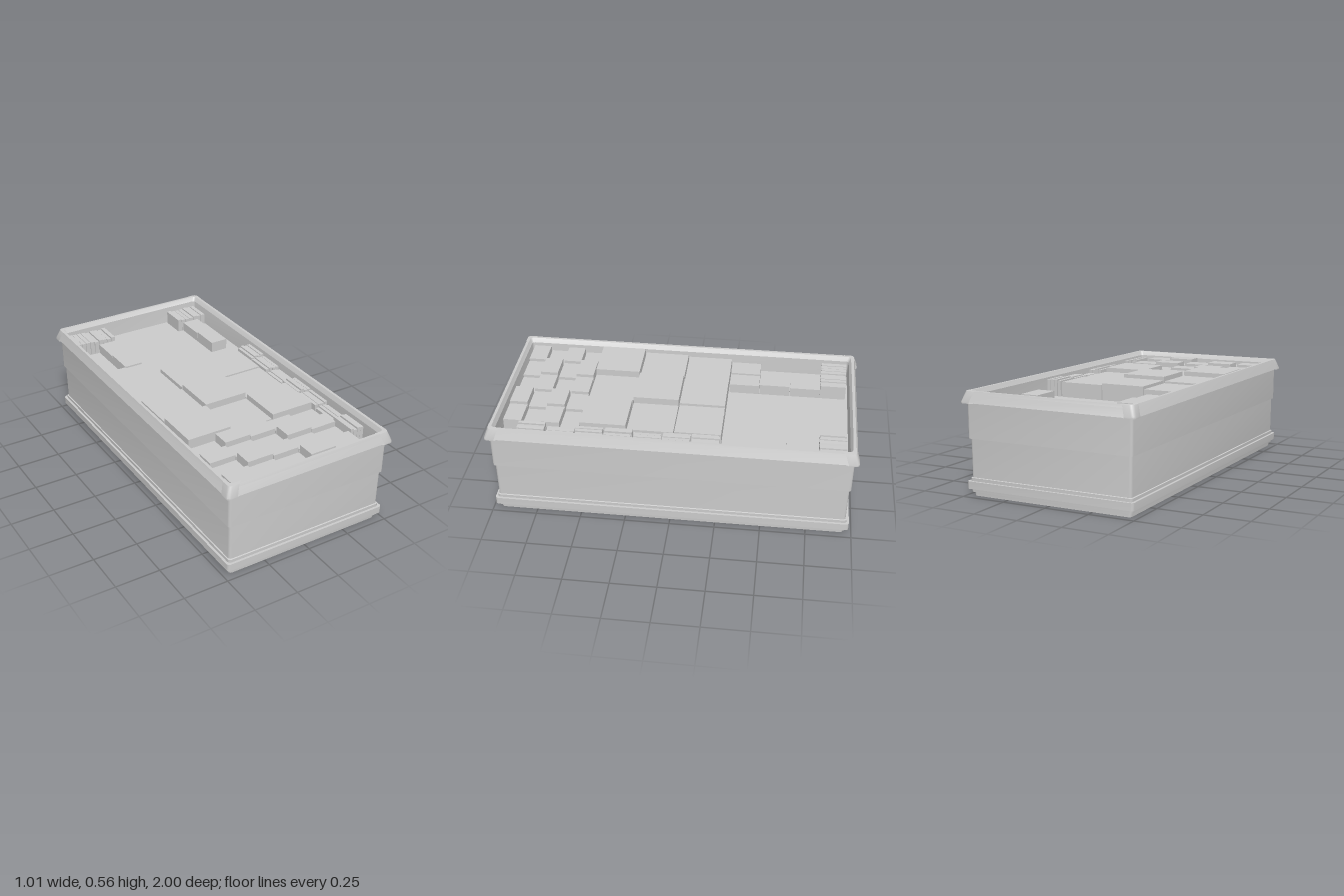
import * as THREE from 'three';
import { toCreasedNormals } from 'three/addons/utils/BufferGeometryUtils.js';

const material = new THREE.MeshStandardMaterial({ color: 0xcccccc, side: THREE.DoubleSide });
const LENGTH_EXTRA = 0.495; // half length minus half width
const FLOOR = 0.43;

let seed = 7;
const rand = () => (seed = (seed * 16807) % 2147483647) / 2147483647;

// Points round one corner (k = 0..3) of a rounded rectangle with half width w
function cornerArc(w, k, radius) {
  const r = Math.min(radius, w);
  const cx = (k === 0 || k === 3 ? 1 : -1) * (w - r);
  const cz = (k < 2 ? -1 : 1) * (w + LENGTH_EXTRA - r);
  return [0, 1, 2, 3].map((i) => {
    const a = (k + i / 3) * Math.PI / 2;
    return [cx + Math.cos(a) * r, cz - Math.sin(a) * r];
  });
}

// Whole rectangle as a closed ring
function ring(w, radius) {
  const pts = [0, 1, 2, 3].flatMap((k) => cornerArc(w, k, radius));
  return [...pts, pts[0]];
}

// One corner with a short straight run on either side
function cornerRun(w, k, radius, run) {
  const pts = cornerArc(w, k, radius);
  const a = k * Math.PI / 2, b = a + Math.PI / 2;
  const [s, e] = [pts[0], pts[3]];
  return [
    [s[0] + Math.sin(a) * run, s[1] + Math.cos(a) * run],
    ...pts,
    [e[0] - Math.sin(b) * run, e[1] - Math.cos(b) * run],
  ];
}

// Skin a profile of [half width, y] steps along a path
function loft(name, profile, path) {
  const pos = [], index = [];
  let n = 0;
  profile.forEach(([w, y]) => {
    const pts = path(w);
    n = pts.length;
    pts.forEach(([x, z]) => pos.push(x, y, z));
  });
  for (let j = 0; j < profile.length - 1; j++) {
    for (let i = 0; i < n - 1; i++) {
      const a = j * n + i, b = a + 1, c = b + n, d = a + n;
      index.push(a, b, c, a, c, d);
    }
  }
  const g = new THREE.BufferGeometry();
  g.setAttribute('position', new THREE.Float32BufferAttribute(pos, 3));
  g.setIndex(index);
  const mesh = new THREE.Mesh(toCreasedNormals(g, 0.6), material);
  mesh.name = name;
  return mesh;
}

// Box given by its footprint, standing on the inner floor
function goods(parent, name, x0, x1, z0, z1, top, tilt = 0) {
  const gap = 0.003;
  const g = new THREE.BoxGeometry(x1 - x0 - gap, top - FLOOR, z1 - z0 - gap);
  const mesh = new THREE.Mesh(g, material);
  mesh.position.set((x0 + x1) / 2, (top + FLOOR) / 2, (z0 + z1) / 2);
  mesh.rotation.z = tilt;
  mesh.name = name;
  parent.add(mesh);
}

// Row of thin upright sheets stacked along x
function sheets(parent, name, x0, x1, z0, z1, count, top) {
  const stack = new THREE.Group();
  stack.name = name;
  const step = (x1 - x0) / count;
  for (let i = 0; i < count; i++) {
    const a = x0 + i * step;
    const shift = (rand() - 0.5) * 0.006;
    goods(stack, 'sheet', a, a + step, z0 + shift, z1 + shift,
      top + (rand() - 0.5) * 0.012, (rand() - 0.5) * 0.06);
  }
  parent.add(stack);
}

export function createModel() {
  seed = 7;
  const model = new THREE.Group();
  model.name = 'packedCrate';
  const round = (w) => ring(w, 0.015);

  // Crate shell
  model.add(
    loft('base', [[0, 0], [0.46, 0], [0.461, 0.02], [0.471, 0.022], [0.472, 0.04]], round),
    loft('skirt', [[0.472, 0.04], [0.487, 0.04], [0.487, 0.08], [0.474, 0.08], [0.474, 0.097], [0.468, 0.099]], round),
    loft('lowerWall', [[0.468, 0.099], [0.47, 0.305]], round),
    loft('upperWall', [[0.47, 0.305], [0.479, 0.305], [0.48, 0.492]], round),
    loft('rim', [[0.48, 0.492], [0.498, 0.494], [0.482, 0.54], [0.488, 0.54],
      [0.483, 0.555], [0.468, 0.555], [0.455, 0.53]], round),
    loft('innerWall', [[0.455, 0.53], [0.452, FLOOR]], round),
    loft('innerFloor', [[0.452, FLOOR], [0, FLOOR]], round),
  );

  // Raised caps on the rim corners
  for (let k = 0; k < 4; k++) {
    model.add(loft('cornerCap', [[0.48, 0.492], [0.505, 0.492], [0.505, 0.5], [0.485, 0.555], [0.466, 0.556]],
      (w) => cornerRun(w, k, 0.02, 0.038)));
  }

  // Large boxes, three by three
  const largeBoxes = new THREE.Group();
  largeBoxes.name = 'largeBoxes';
  const tops = [[0.51, 0.525, 0.515], [0.52, 0.545, 0.51], [0.545, 0.51, 0.535]];
  tops.forEach((row, r) => row.forEach((top, c) => {
    const x = -0.435 + c * 0.26, z = -0.265 + r * 0.259;
    goods(largeBoxes, 'largeBox', x, x + 0.257, z, z + 0.256, top);
  }));

  // Small boxes at the front, five by four
  const smallBoxes = new THREE.Group();
  smallBoxes.name = 'smallBoxes';
  for (let r = 0; r < 4; r++) {
    for (let c = 0; c < 5; c++) {
      const x = -0.435 + c * 0.156, z = 0.513 + r * 0.105;
      goods(smallBoxes, 'smallBox', x, x + 0.154, z, z + 0.103, 0.495 + ((c * 3 + r * 2) % 4) * 0.014);
    }
  }

  // Low blocks at the back
  const blocks = new THREE.Group();
  blocks.name = 'backBlocks';
  [
    [-0.31, -0.2, -0.79, -0.615], [-0.31, -0.2, -0.615, -0.44],
    [-0.31, -0.2, -0.44, -0.268], [-0.43, -0.31, -0.44, -0.268],
    [0.28, 0.387, -0.79, -0.615], [0.28, 0.387, -0.615, -0.44],
  ].forEach(([x0, x1, z0, z1], i) => goods(blocks, 'block', x0, x1, z0, z1, 0.485 + (i % 2) * 0.008));

  // Sheets in the back corners and along the left side
  const stacks = new THREE.Group();
  stacks.name = 'sheetStacks';
  sheets(stacks, 'backRightSheets', -0.447, -0.2, -0.937, -0.79, 9, 0.51);
  sheets(stacks, 'backLeftSheets', 0.245, 0.44, -0.937, -0.79, 7, 0.505);
  for (let i = 0; i < 7; i++) {
    const z = -0.262 + i * 0.158;
    sheets(stacks, 'sideSheets', 0.352, 0.44, z, z + 0.152, 4, 0.525 - (i % 3) * 0.01);
  }

  model.add(largeBoxes, smallBoxes, blocks, stacks);
  return model;
}
